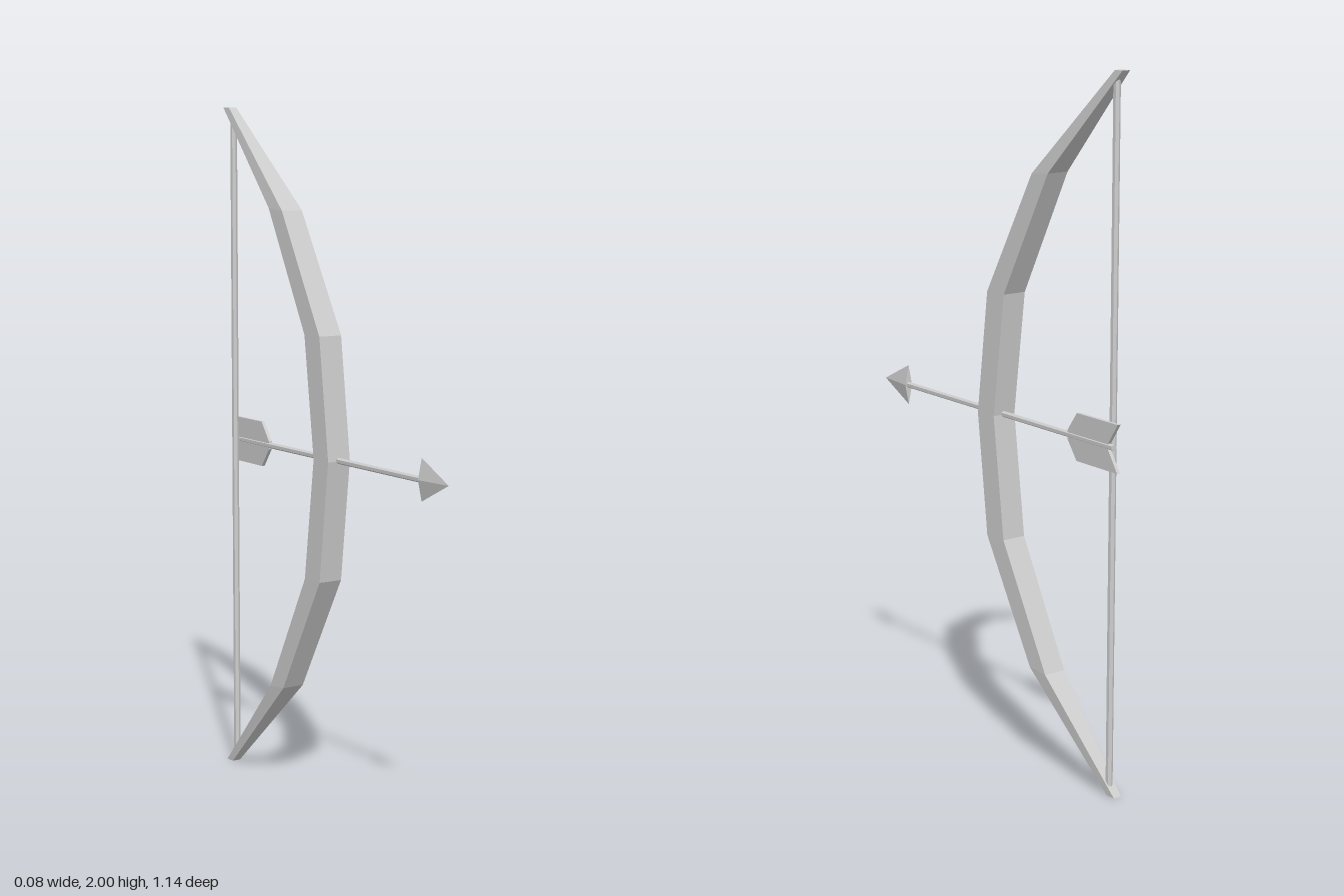
import * as THREE from 'three';

const material = new THREE.MeshStandardMaterial({ color: 0xcccccc, flatShading: true });

function part(name, geometry) {
  const mesh = new THREE.Mesh(geometry, material);
  mesh.name = name;
  return mesh;
}

// Stave: rectangular sections swept from the lower tip to the upper tip
function staveGeometry() {
  // height above the grip (front, back), z (front, back), half width
  const upper = [
    [0, 0, 0.03, -0.042, 0.038],
    [0.355, 0.355, -0.013, -0.087, 0.038],
    [0.704, 0.71, -0.204, -0.272, 0.035],
    [1, 1, -0.515, -0.545, 0.013],
  ];
  const lower = upper.slice(1).reverse().map(([a, b, ...rest]) => [-a, -b, ...rest]);
  const rings = [...lower, ...upper].map(([yf, yb, zf, zb, w]) => [
    [w, 1 + yf, zf], [w, 1 + yb, zb], [-w, 1 + yb, zb], [-w, 1 + yf, zf],
  ]);
  const positions = [];
  const quad = (a, b, c, d) => positions.push(...a, ...b, ...c, ...a, ...c, ...d);
  for (let i = 0; i < rings.length - 1; i++) {
    for (let j = 0; j < 4; j++) {
      const k = (j + 1) % 4;
      quad(rings[i][j], rings[i][k], rings[i + 1][k], rings[i + 1][j]);
    }
  }
  quad(...rings[rings.length - 1]);
  quad(...[...rings[0]].reverse());
  const geometry = new THREE.BufferGeometry();
  geometry.setAttribute('position', new THREE.Float32BufferAttribute(positions, 3));
  geometry.computeVertexNormals();
  return geometry;
}

// Arrow, built along +z around its own axis
function createArrow() {
  const arrow = new THREE.Group();
  arrow.name = 'arrow';

  const shaft = new THREE.CylinderGeometry(0.009, 0.009, 1.0, 6);
  shaft.rotateX(Math.PI / 2).translate(0, 0, -0.05);
  arrow.add(part('arrowShaft', shaft));

  // Flattened four-sided head
  const head = new THREE.ConeGeometry(0.06, 0.127, 4);
  head.rotateX(Math.PI / 2).scale(0.2, 1, 1).translate(0, 0, 0.512);
  arrow.add(part('arrowHead', head));

  // Thin forked feather above and below the shaft
  const depth = 0.01;
  const outline = [
    [-0.35, 0], [-0.35, 0.012], [-0.392, 0.067], [-0.571, 0.067], [-0.53, 0.008], [-0.53, 0],
  ].map(([x, y]) => new THREE.Vector2(x, y));
  for (const side of [1, -1]) {
    const shape = new THREE.Shape(outline.map((p) => new THREE.Vector2(p.x, p.y * side)));
    const feather = new THREE.ExtrudeGeometry(shape, { depth, bevelEnabled: false });
    feather.translate(0, 0, -depth / 2).rotateY(-Math.PI / 2);
    arrow.add(part(side > 0 ? 'upperFeather' : 'lowerFeather', feather));
  }

  arrow.position.set(-0.002, 1.002, 0);
  arrow.rotation.y = -0.0565;
  return arrow;
}

export function createModel() {
  const model = new THREE.Group();
  model.name = 'bowAndArrow';

  const stave = part('stave', staveGeometry());
  stave.position.x = -0.002;
  model.add(stave);

  const bowstring = part('bowstring', new THREE.CylinderGeometry(0.01, 0.01, 1.95, 6));
  bowstring.position.set(0, 1, -0.512);
  model.add(bowstring);

  model.add(createArrow());
  return model;
}
